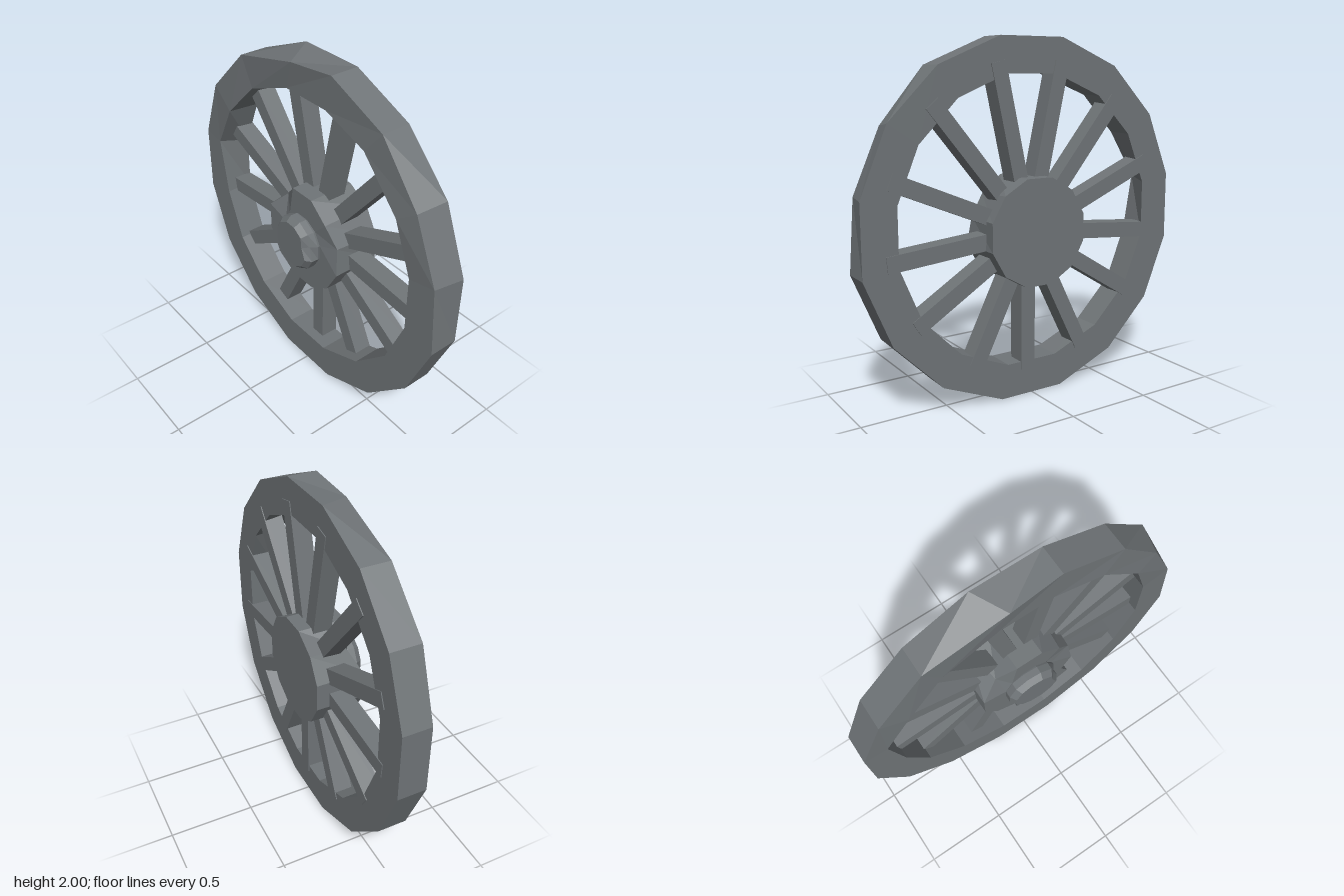
import * as THREE from 'three';

// Faceted skin over rows of points; every row runs counter-clockwise seen from the front
function loft(rows, wrap) {
  const pos = [];
  const n = rows[0].length;
  const last = wrap ? rows.length : rows.length - 1;
  for (let r = 0; r < last; r++) {
    const a = rows[r], b = rows[(r + 1) % rows.length];
    for (let i = 0; i < n; i++) {
      const j = (i + 1) % n;
      pos.push(...a[i], ...a[j], ...b[j], ...a[i], ...b[j], ...b[i]);
    }
  }
  const geo = new THREE.BufferGeometry();
  geo.setAttribute('position', new THREE.Float32BufferAttribute(pos, 3));
  geo.computeVertexNormals();
  return geo;
}

// Regular polygon with a corner offset of half a step; nicks = { corner: [dx, dy, dz] }
function ring(n, radius, cx, cy, z, nicks = {}) {
  return Array.from({ length: n }, (_, i) => {
    const a = ((i + 0.5) / n) * Math.PI * 2;
    const [dx, dy, dz] = nicks[i] || [0, 0, 0];
    return [cx + Math.cos(a) * radius + dx, cy + Math.sin(a) * radius + dy, z + dz];
  });
}

export function createModel() {
  const group = new THREE.Group();
  group.name = 'wheel';
  const material = new THREE.MeshStandardMaterial({ color: 0x6f7477 });
  material.name = 'weathered grey';
  const add = (name, geometry) => {
    const mesh = new THREE.Mesh(geometry, material);
    mesh.name = name;
    group.add(mesh);
    return mesh;
  };

  // Sixteen-sided rim, with worn corners along the upper front edges
  add('rim', loft([
    ring(16, 1.02, 0, 1, -0.105),
    ring(16, 1.02, 0, 1, 0.06, {
      0: [-0.03, 0, 0], 1: [-0.03, -0.02, 0], 4: [0.1, -0.03, 0.015], 6: [0, 0, 0.01],
    }),
    ring(16, 0.82, 0, 1, 0.06, {
      1: [0.02, 0.01, 0.015], 2: [0, 0.035, 0.01], 5: [-0.02, 0, 0], 6: [-0.02, 0, 0.015], 7: [-0.06, 0.02, 0],
    }),
    ring(16, 0.82, 0, 1, -0.105),
  ], true));

  // Twelve-sided hub with a chipped front edge
  add('hub', loft([
    ring(12, 0, 0.005, 0.95, -0.185),
    ring(12, 0.31, 0.005, 0.95, -0.185),
    ring(12, 0.31, 0.005, 0.95, 0.093, {
      0: [-0.02, 0, -0.02], 1: [-0.02, -0.02, 0], 4: [0.03, -0.03, -0.05],
    }),
    ring(12, 0.16, 0.005, 0.95, 0.093),
    ring(12, 0, 0.005, 0.95, 0.093),
  ], false));

  // Slightly tilted axle cap
  const cap = add('axleCap', loft([
    ring(12, 0.15, 0, 0, 0.06),
    ring(12, 0.163, 0, 0, 0.1),
    ring(12, 0.163, 0, 0, 0.14, { 0: [-0.025, 0, 0] }),
    ring(12, 0.137, 0, 0, 0.174, { 0: [-0.03, 0, 0] }),
    ring(12, 0, 0, 0, 0.174),
  ], false));
  cap.position.set(0.01, 0.95, 0);
  cap.rotation.y = -0.04;

  // Thirteen spokes: one straight down, six mirrored pairs, let into the back of the rim
  const spoke = (degrees, x) => {
    const a = THREE.MathUtils.degToRad(degrees);
    const end = 0.87 + 0.08 * Math.sin(a);
    const start = 0.2;
    const geo = new THREE.BoxGeometry(end - start, 0.09, 0.108);
    geo.translate((start + end) / 2, 0, -0.056);
    const mesh = add('spoke', geo);
    mesh.position.set(x, 0.94, 0);
    mesh.rotation.z = a;
  };
  spoke(-90, 0.03);
  for (const d of [-63.5, -31.5, -5, 22.5, 50.5, 77.5]) {
    spoke(d, 0.01);
    spoke(180 - d, 0.01);
  }
  return group;
}
